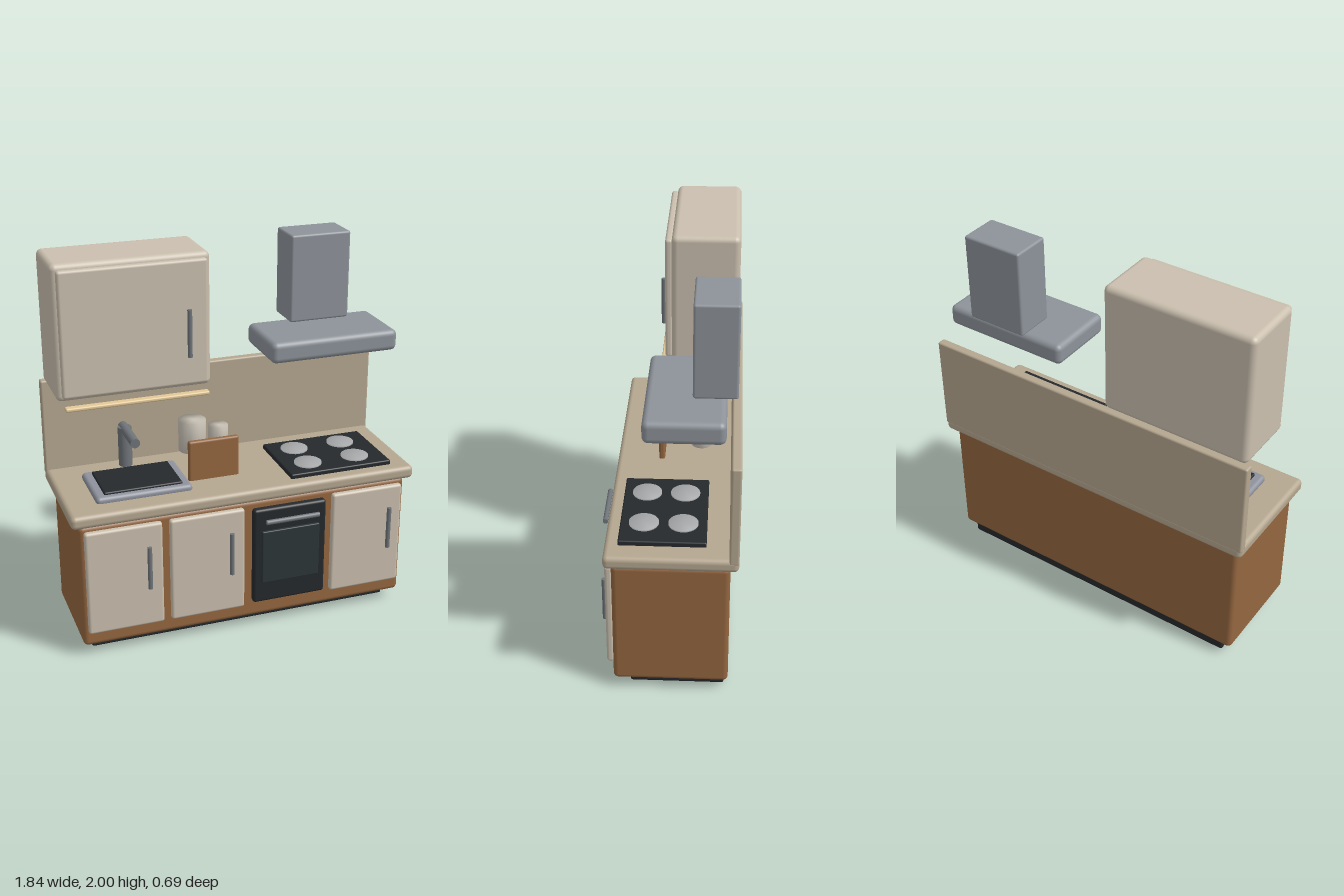
import * as THREE from 'three';
import { RoundedBoxGeometry } from 'three/addons/geometries/RoundedBoxGeometry.js';
import { mergeVertices } from 'three/addons/utils/BufferGeometryUtils.js';

const mat = (color) => new THREE.MeshStandardMaterial({ color });

export function createModel() {
  const kitchen = new THREE.Group();
  kitchen.name = 'kitchenUnit';

  const cream = mat(0xcabfae), stone = mat(0xb5a790), wood = mat(0x94663f);
  const steel = mat(0x8d939a), metal = mat(0x6f7479), dark = mat(0x25292c);
  const glass = mat(0x2b3538), rimSteel = mat(0x8e929c), glow = mat(0xe3c897);
  const plate = mat(0xa6a8aa), ceramic = mat(0xc9c2b6);

  const add = (name, geometry, material) => {
    const mesh = new THREE.Mesh(geometry, material);
    mesh.name = name;
    kitchen.add(mesh);
    return mesh;
  };

  // Rounded box given by its extents on each axis
  const box = (name, material, [x0, x1], [y0, y1], [z0, z1], radius) => {
    const w = x1 - x0, h = y1 - y0, d = z1 - z0;
    const r = Math.min(radius, Math.min(w, h, d) * 0.49);
    add(name, new RoundedBoxGeometry(w, h, d, 3, r), material)
      .position.set((x0 + x1) / 2, (y0 + y1) / 2, (z0 + z1) / 2);
  };

  // Cylinder along a chosen axis; soft blends normals over the rim
  const cylinder = (name, material, radius, length, centre, axis = 'y', soft = false) => {
    let g = new THREE.CylinderGeometry(radius, radius, length, 24);
    if (soft) {
      g.deleteAttribute('normal');
      g.deleteAttribute('uv');
      g = mergeVertices(g);
      g.computeVertexNormals();
    }
    if (axis === 'x') g.rotateZ(Math.PI / 2);
    if (axis === 'z') g.rotateX(Math.PI / 2);
    add(name, g, material).position.set(...centre);
  };

  // Base cabinet, plinth, worktop and splashback
  box('plinth', dark, [-0.825, 0.825], [0, 0.08], [-0.285, 0.18], 0.012);
  box('baseCabinet', wood, [-0.883, 0.883], [0.06, 0.74], [-0.305, 0.26], 0.025);
  box('worktop', stone, [-0.923, 0.92], [0.745, 0.815], [-0.345, 0.295], 0.025);
  box('splashback', stone, [-0.923, 0.92], [0.79, 1.312], [-0.345, -0.298], 0.01);

  // Base doors with bar handles
  for (const [x, handleX] of [[-0.662, -0.537], [-0.225, -0.1], [0.659, 0.784]]) {
    box('baseDoor', cream, [x - 0.199, x + 0.199], [0.145, 0.718], [0.255, 0.293], 0.015);
    cylinder('baseDoorHandle', metal, 0.012, 0.235, [handleX, 0.478, 0.302]);
  }

  // Oven
  box('ovenFront', dark, [0.02, 0.42], [0.16, 0.702], [0.255, 0.3], 0.015);
  box('ovenWindow', glass, [0.061, 0.379], [0.28, 0.58], [0.285, 0.315], 0.006);
  cylinder('ovenHandle', metal, 0.013, 0.29, [0.22, 0.644, 0.334], 'x');

  // Sink and tap
  box('sinkRim', rimSteel, [-0.767, -0.267], [0.8, 0.845], [-0.155, 0.182], 0.02);
  box('sinkBasin', dark, [-0.72, -0.312], [0.825, 0.857], [-0.12, 0.15], 0.008);
  cylinder('tapColumn', metal, 0.036, 0.215, [-0.52, 0.945, -0.188]);
  cylinder('tapSpout', metal, 0.025, 0.25, [-0.52, 1.043, -0.1], 'z');

  // Hob with four plates
  box('hob', dark, [0.25, 0.813], [0.808, 0.839], [-0.19, 0.23], 0.008);
  for (const x of [0.387, 0.655]) {
    for (const z of [-0.075, 0.115]) {
      cylinder('hobPlate', plate, 0.073, 0.02, [x, 0.837, z], 'y', true);
    }
  }

  // Chopping board and jars
  box('choppingBoard', wood, [-0.255, 0.017], [0.74, 1.032], [0.048, 0.079], 0.012);
  cylinder('largeJar', ceramic, 0.073, 0.17, [-0.167, 0.977, -0.143], 'y', true);
  cylinder('smallJar', ceramic, 0.054, 0.12, [-0.023, 0.952, -0.143], 'y', true);

  // Wall cabinet with under-cabinet light
  box('wallCabinet', cream, [-0.904, -0.112], [1.31, 2], [-0.322, 0.02], 0.03);
  box('wallDoor', cream, [-0.88, -0.136], [1.335, 1.975], [0.015, 0.053], 0.015);
  cylinder('wallDoorHandle', metal, 0.012, 0.245, [-0.236, 1.607, 0.064]);
  box('lightStrip', glow, [-0.873, -0.138], [1.276, 1.296], [0.034, 0.075], 0.008);

  // Extractor hood
  box('hoodCanopy', steel, [0.185, 0.88], [1.403, 1.515], [-0.272, 0.106], 0.03);
  box('hoodChimney', steel, [0.367, 0.693], [1.54, 2], [-0.322, -0.115], 0.012);

  return kitchen;
}
